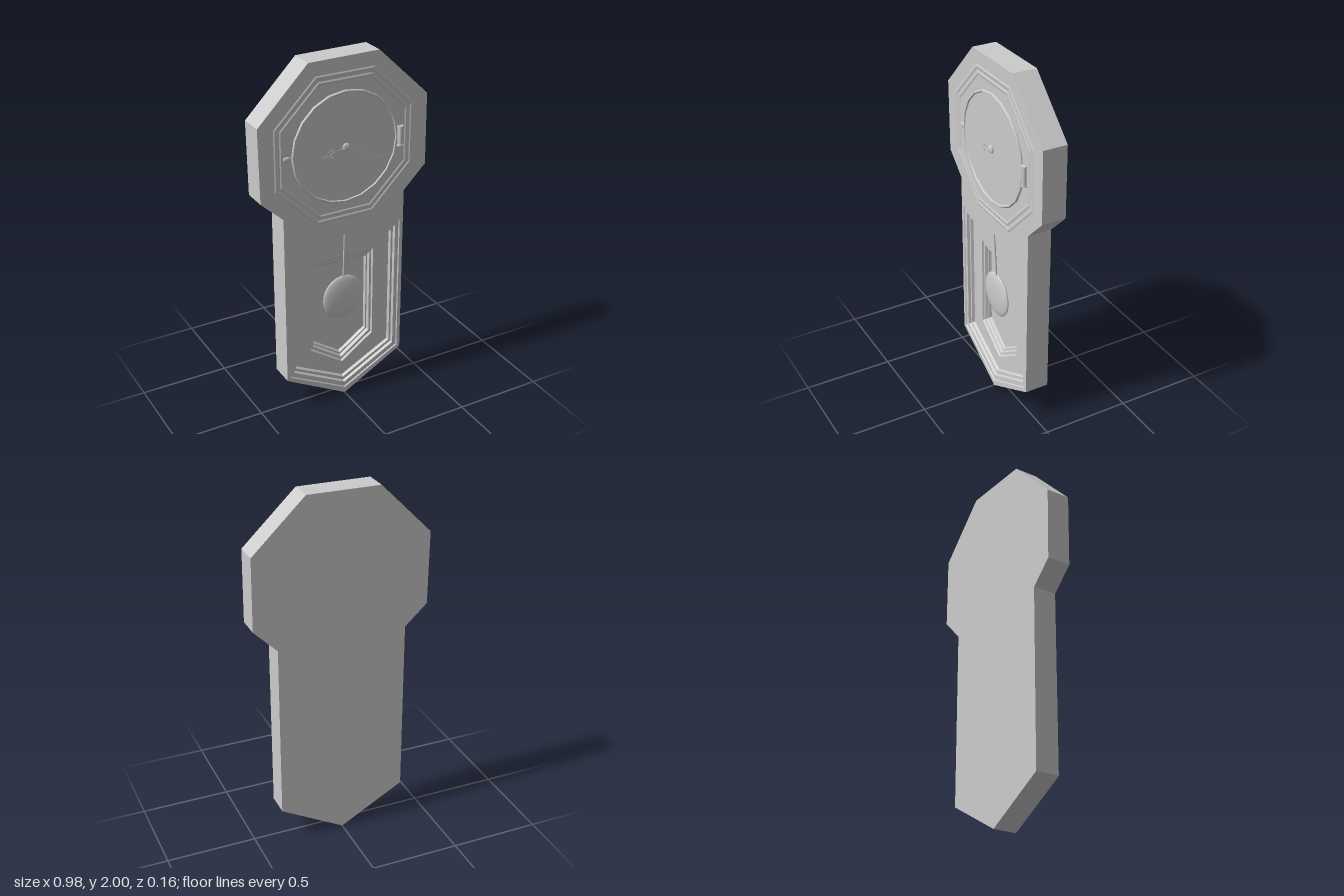
import * as THREE from 'three';
import { toCreasedNormals } from 'three/addons/utils/BufferGeometryUtils.js';

const FRONT = 0.055, BACK = -0.08, DIAL_Y = 1.517;

export function createModel() {
  const clock = new THREE.Group();
  clock.name = 'wallClock';
  const flat = new THREE.MeshStandardMaterial({ color: 0xcccccc, flatShading: true });
  const smooth = new THREE.MeshStandardMaterial({ color: 0xcccccc });

  const add = (name, geometry, material, x = 0, y = 0, z = 0) => {
    const mesh = new THREE.Mesh(geometry, material);
    mesh.name = name;
    mesh.position.set(x, y, z);
    clock.add(mesh);
    return mesh;
  };
  const toShape = (pts) => new THREE.Shape(pts.map(([x, y]) => new THREE.Vector2(x, y)));
  const slab = (shape, depth) => new THREE.ExtrudeGeometry(shape, { depth, bevelEnabled: false });

  // Skin between counter-clockwise rings, each listed from outer to inner
  const loft = (rings, closeEnd) => {
    const pos = [];
    const n = rings[0].length;
    for (let r = 0; r + 1 < rings.length; r++) {
      for (let i = 0; i < n; i++) {
        const j = (i + 1) % n, a = rings[r], b = rings[r + 1];
        pos.push(...a[i], ...a[j], ...b[j], ...a[i], ...b[j], ...b[i]);
      }
    }
    const last = rings[rings.length - 1];
    if (closeEnd) for (let i = 1; i + 1 < n; i++) pos.push(...last[0], ...last[i], ...last[i + 1]);
    const g = new THREE.BufferGeometry();
    g.setAttribute('position', new THREE.Float32BufferAttribute(pos, 3));
    g.computeVertexNormals();
    return g;
  };

  // Case: octagonal head over a pointed body
  const outline = [[0, 0], [0.36, 0.2], [0.36, 1.19], [0.49, 1.32], [0.487, 1.72], [0.195, 2],
    [-0.207, 1.997], [-0.49, 1.71], [-0.485, 1.305], [-0.36, 1.19], [-0.36, 0.2]];
  const pentagon = (w, top, side, tip, z) =>
    [[0, tip, z], [w, side, z], [w, top, z], [-w, top, z], [-w, side, z]];

  // Stepped pendulum recess: half width, top, shoulder, tip, depth position
  const recess = [
    [0.34, 1.02, 0.215, 0.035, FRONT], [0.336, 1.016, 0.218, 0.04, 0.049],
    [0.315, 0.985, 0.235, 0.068, 0.049], [0.31, 0.98, 0.24, 0.075, 0.035],
    [0.298, 0.956, 0.25, 0.095, 0.035], [0.292, 0.95, 0.255, 0.103, 0.02],
    [0.195, 0.865, 0.325, 0.19, 0.02], [0.19, 0.855, 0.33, 0.2, 0.01],
    [0.178, 0.84, 0.34, 0.215, 0.01], [0.172, 0.826, 0.345, 0.225, -0.005],
    [0.165, 0.816, 0.35, 0.236, -0.005], [0.16, 0.81, 0.355, 0.245, -0.02],
  ].map((row) => pentagon(...row));

  const MID = -0.03;
  add('backCase', slab(toShape(outline), MID - BACK), flat, 0, 0, BACK);
  const frontShape = toShape(outline);
  frontShape.holes.push(toShape(recess[0]));
  add('frontCase', slab(frontShape, FRONT - MID), flat, 0, 0, MID);
  add('pendulumRecess', loft(recess, true), flat);

  // Two low octagonal mouldings around the dial
  const octagon = (apothem, z) => Array.from({ length: 8 }, (_, i) => {
    const a = (i + 0.5) * Math.PI / 4, r = apothem / Math.cos(Math.PI / 8);
    return [r * Math.cos(a), DIAL_Y + r * Math.sin(a), z];
  });
  for (const [outer, inner] of [[0.405, 0.383], [0.373, 0.352]]) {
    add('octagonMoulding', loft([octagon(outer, FRONT), octagon(outer - 0.007, FRONT + 0.003),
      octagon(inner + 0.007, FRONT + 0.003), octagon(inner, FRONT)], false), flat);
  }

  // Dial with raised rim, turned about the forward axis
  const turned = (name, pts, segments, y, z) => {
    const g = new THREE.LatheGeometry(pts.map(([r, h]) => new THREE.Vector2(r, h)), segments);
    g.rotateX(Math.PI / 2);
    return add(name, toCreasedNormals(g, 0.6), smooth, 0, y, z);
  };
  turned('dialRim', [[0.309, 0], [0.309, 0.007], [0.305, 0.011], [0.299, 0.011],
    [0.295, 0.005], [0, 0.005]], 20, DIAL_Y, FRONT);
  turned('centreKnob', [[0.014, 0.004], [0.023, 0.009], [0.023, 0.015], [0.014, 0.021], [0, 0.023]],
    16, DIAL_Y + 0.003, FRONT);

  // Thin tapered hands, the hour hand with small scrolls
  const hand = (name, tipX, tipY, w) => {
    const length = Math.hypot(tipX, tipY);
    const g = slab(toShape([[0, -w], [length, -w * 0.3], [length, w * 0.3], [0, w]]), 0.002);
    const mesh = add(name, g, flat, 0, DIAL_Y, FRONT + 0.0045);
    mesh.rotation.z = Math.atan2(tipY, tipX);
  };
  hand('minuteHand', 0.24, -0.11, 0.003);
  hand('hourHand', -0.13, -0.035, 0.004);
  for (const [x, y] of [[-0.07, -0.009], [-0.085, -0.035], [-0.095, -0.015]]) {
    add('handScroll', new THREE.TorusGeometry(0.009, 0.002, 4, 10), smooth, x, DIAL_Y + y, FRONT + 0.005);
  }

  // Hinge barrel with end collars on one side, clasp on the other
  add('hingeBarrel', new THREE.CylinderGeometry(0.014, 0.014, 0.1, 12), smooth, 0.325, 1.515, 0.06);
  for (const y of [1.463, 1.567]) {
    add('hingeCollar', new THREE.CylinderGeometry(0.018, 0.018, 0.008, 12), smooth, 0.325, y, 0.06);
  }
  add('claspTab', new THREE.SphereGeometry(1, 14, 8), smooth, -0.332, DIAL_Y, FRONT)
    .scale.set(0.026, 0.016, 0.007);

  // Pendulum: thin rod leaning over the frame lip, and a lens-shaped bob
  const rod = new THREE.LineCurve3(new THREE.Vector3(0, 1.022, 0.05), new THREE.Vector3(0, 0.7, 0.035));
  add('pendulumRod', new THREE.TubeGeometry(rod, 1, 0.005, 8), smooth);
  add('pendulumBob', new THREE.SphereGeometry(1, 32, 20), smooth, 0, 0.625, 0.034)
    .scale.set(0.124, 0.13, 0.02);

  return clock;
}
